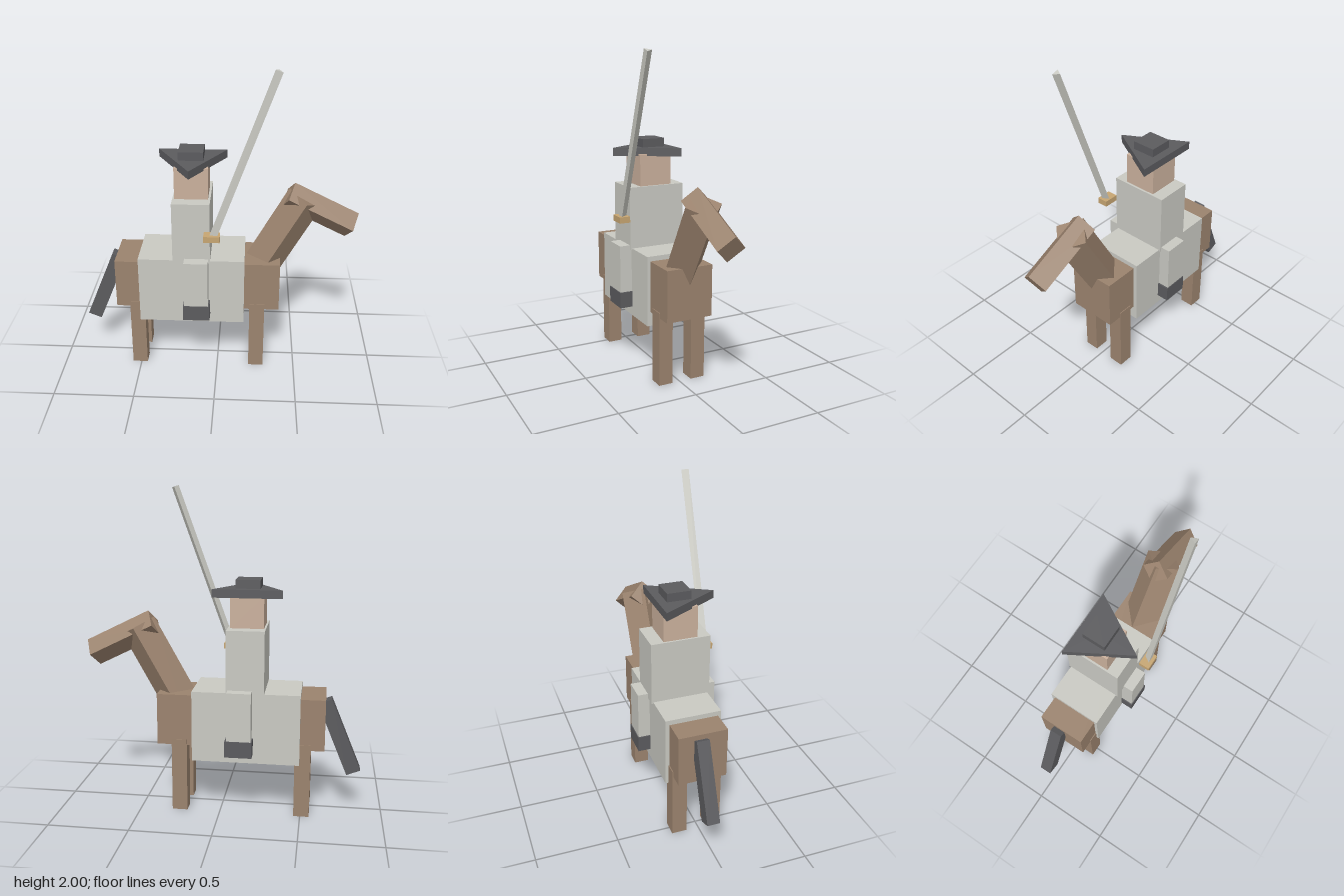
import * as THREE from 'three';

const material = (name, color) => {
  const m = new THREE.MeshStandardMaterial({ color });
  m.name = name;
  return m;
};

export function createModel() {
  const group = new THREE.Group();
  const brown = material('horse brown', 0x9b836e);
  const grey = material('pale grey', 0xc9c9c2);
  const dark = material('charcoal', 0x5b5b5e);
  const skin = material('skin', 0xcab09c);
  const gold = material('gold', 0xc6a572);

  const add = (name, geometry, mat) => {
    const mesh = new THREE.Mesh(geometry, mat);
    mesh.name = name;
    group.add(mesh);
    return mesh;
  };

  // Box given by its limits on each axis
  const box = (name, mat, [x0, x1], [y0, y1], [z0, z1]) =>
    add(name, new THREE.BoxGeometry(x1 - x0, y1 - y0, z1 - z0), mat)
      .position.set((x0 + x1) / 2, (y0 + y1) / 2, (z0 + z1) / 2);

  // Straight prism between two points in a plane of constant z
  const prism = (name, mat, [x0, y0], [x1, y1], z, radius, sides, turn = 0) => {
    const length = Math.hypot(x1 - x0, y1 - y0);
    const geometry = new THREE.CylinderGeometry(radius, radius, length, sides, 1, false, turn)
      .toNonIndexed();
    geometry.computeVertexNormals();
    const mesh = add(name, geometry, mat);
    mesh.position.set((x0 + x1) / 2, (y0 + y1) / 2, z);
    mesh.rotation.z = -Math.atan2(x1 - x0, y1 - y0);
    return mesh;
  };

  const mid = -0.015;

  // Horse
  box('horseBody', brown, [-0.64, 0.39], [0.43, 0.75], [-0.165, 0.135]);
  for (const [end, x] of [['rear', -0.555], ['front', 0.205]]) {
    box(end + 'LegNear', brown, [x, x + 0.095], [0, 0.465], [0.05, 0.14]);
    box(end + 'LegFar', brown, [x, x + 0.095], [0, 0.465], [-0.17, -0.077]);
  }
  prism('horseNeck', brown, [0.204, 0.55], [0.535, 1.148], mid, 0.118, 4);
  prism('horseHead', brown, [0.429, 1.164], [0.825, 0.968], mid, 0.0875, 4);
  const tail = add('tail', new THREE.BoxGeometry(0.09, 0.487, 0.078), dark);
  tail.position.set(-0.727, 0.49, -0.031);
  tail.rotation.z = -0.39;
  box('blanket', grey, [-0.49, 0.17], [0.34, 0.78], [-0.19, 0.155]);

  // Rider: each leg and boot pair runs through the blanket
  box('riderLegs', grey, [-0.2, -0.052], [0.5, 0.8], [-0.263, 0.233]);
  box('boots', dark, [-0.207, -0.042], [0.4, 0.5], [-0.268, 0.238]);
  box('torso', grey, [-0.272, -0.042], [0.77, 1.165], [-0.2, 0.167]);
  box('riderHead', skin, [-0.26, -0.056], [1.16, 1.362], [-0.12, 0.09]);

  // Three-cornered hat
  prism('hatBrim', dark, [-0.16, 1.35], [-0.16, 1.4], -0.018, 0.243, 3);
  box('hatCrown', dark, [-0.235, -0.085], [1.39, 1.452], [-0.09, 0.058]);

  // Sword
  prism('swordBlade', grey, [-0.022, 0.985], [0.339, 1.99], 0.231, 0.026, 3, Math.PI);
  box('swordGuard', gold, [-0.075, 0.023], [0.965, 1.003], [0.197, 0.265]);

  return group;
}
